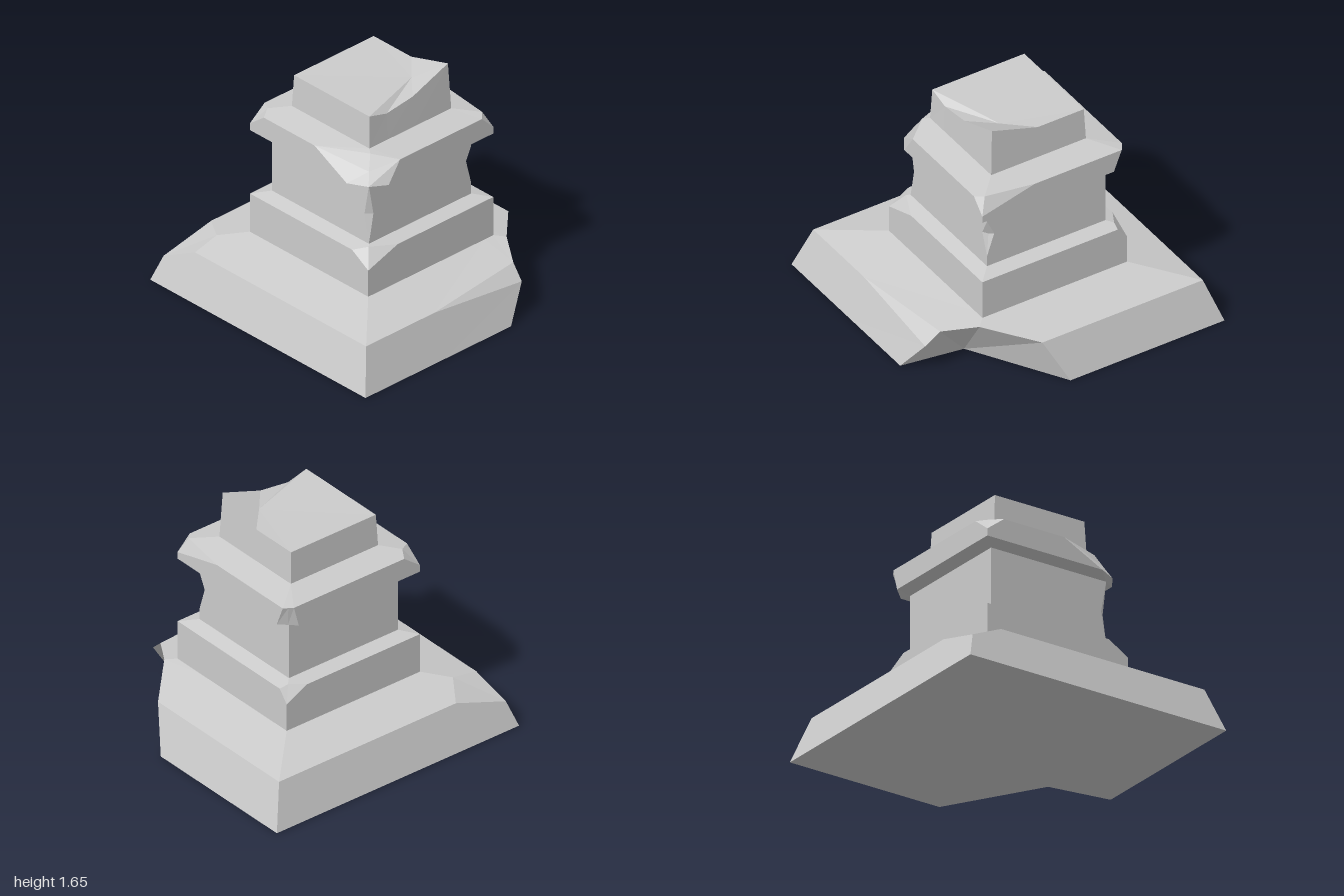
import * as THREE from 'three';

const material = new THREE.MeshStandardMaterial({ color: 0xcccccc, flatShading: true });

// Joins rings of equal length (counter-clockwise from above, bottom to top) and closes both ends.
function loft(name, rings, topCentre) {
  const positions = [];
  const tri = (a, b, c) => {
    const [p, q, r] = [a, b, c].map((v) => new THREE.Vector3(...v));
    const area = q.clone().sub(p).cross(r.clone().sub(p)).length();
    if (area > 1e-7) positions.push(...a, ...b, ...c);
  };
  const n = rings[0].length;
  for (let k = 0; k < rings.length - 1; k++) {
    for (let i = 0; i < n; i++) {
      const j = (i + 1) % n;
      const [lo, hi] = [rings[k], rings[k + 1]];
      tri(lo[i], lo[j], hi[j]);
      tri(lo[i], hi[j], hi[i]);
    }
  }
  const first = rings[0], last = rings[rings.length - 1];
  const top = topCentre || [0, last[0][1], 0];
  for (let i = 0; i < n; i++) {
    const j = (i + 1) % n;
    tri([0, first[0][1], 0], first[j], first[i]);
    tri(top, last[i], last[j]);
  }
  const geometry = new THREE.BufferGeometry();
  geometry.setAttribute('position', new THREE.Float32BufferAttribute(positions, 3));
  geometry.computeVertexNormals();
  const mesh = new THREE.Mesh(geometry, material);
  mesh.name = name;
  return mesh;
}

// Square ring with three points per corner; a chipped corner replaces its three points.
function ring(y, h, chips = {}) {
  const corners = { fl: [-h, y, h], fr: [h, y, h], br: [h, y, -h], bl: [-h, y, -h] };
  return Object.entries(corners).flatMap(([key, p]) => chips[key] || [p, p, p]);
}

// Same chips with the middle point of some corners moved inward.
function sink(chips, middles) {
  const result = { ...chips };
  for (const [key, m] of Object.entries(middles)) result[key] = [chips[key][0], m, chips[key][2]];
  return result;
}

export function createModel() {
  const group = new THREE.Group();
  group.name = 'brokenPedestal';

  // Wide sloping base, front corner broken away, back corner chipped
  const notch = [0.35, 0, 0.56];
  const foot = [[-1, 0, 1], [-0.3, 0, 1], [0.28, 0, 1], notch, notch, [1, 0, 0.17],
    [1, 0, -1], [-0.56, 0, -1], [-1, 0, -1], [-1, 0, -0.69]];
  const breakEdge = [0.47, 0.32, 0.82];
  const lip = [[-0.9, 0.3, 0.9], [-0.3, 0.3, 0.9], [0.45, 0.23, 0.92], breakEdge, [0.61, 0.36, 0.61],
    [0.9, 0.3, 0.32], [0.9, 0.3, -0.9], [-0.56, 0.3, -0.9], [-0.94, 0.18, -0.94], [-0.9, 0.3, -0.69]];
  const chippedLip = lip.slice();
  chippedLip[2] = breakEdge;
  chippedLip[8] = [-0.7, 0.34, -0.7];
  const shoulder = [[-0.55, 0.55], [-0.3, 0.55], [0.47, 0.55], [0.47, 0.55], [0.55, 0.55], [0.55, 0.32],
    [0.55, -0.55], [-0.53, -0.55], [-0.55, -0.55], [-0.55, -0.53]].map(([x, z]) => [x, 0.37, z]);
  group.add(loft('base', [foot, lip, chippedLip, shoulder]));

  // Plinth with two chipped corners
  const plinthChips = {
    fl: [[-0.55, 0.655, 0.4], [-0.55, 0.565, 0.55], [-0.29, 0.655, 0.55]],
    br: [[0.55, 0.655, -0.48], [0.55, 0.57, -0.55], [0.38, 0.655, -0.55]],
  };
  group.add(loft('plinth', [
    ring(0.37, 0.55),
    ring(0.655, 0.55, plinthChips),
    ring(0.655, 0.55, sink(plinthChips, { fl: [-0.47, 0.675, 0.47], br: [0.49, 0.67, -0.49] })),
    ring(0.68, 0.45),
  ]));

  // Shaft with notches in its front edges
  const frontLeftNotch = [[-0.45, 0.89, 0.41], [-0.43, 0.89, 0.43], [-0.41, 0.89, 0.45]];
  const frontRightNotch = [[0.395, 0.92, 0.45], [0.42, 0.91, 0.42], [0.45, 0.92, 0.395]];
  const edge = (y) => [0, 1, 2].map(() => [-0.45 + 0.02 * (1 - Math.abs(y - 0.89) / 0.21), y, 0.45]);
  const leftAt = (y) => {
    const t = 1 - Math.abs(y - 0.89) / 0.22;
    return frontLeftNotch.map(([x, , z]) => [-0.45 + (x + 0.45) * t, y, 0.45 + (z - 0.45) * t]);
  };
  group.add(loft('shaft', [
    ring(0.68, 0.45),
    ring(0.76, 0.45, { fl: leftAt(0.76) }),
    ring(0.91, 0.45, { fl: frontLeftNotch, fr: frontRightNotch }),
    ring(1.035, 0.45, { fl: leftAt(1.035) }),
    ring(1.11, 0.45),
  ]));

  // Collar, each corner chipped differently
  const lowChips = {
    fl: [[-0.55, 1.13, 0.35], [-0.48, 1.13, 0.48], [-0.37, 1.13, 0.55]],
    br: [[0.55, 1.13, -0.45], [0.5, 1.13, -0.5], [0.45, 1.13, -0.55]],
  };
  const highChips = {
    fl: [[-0.55, 1.28, 0.05], [-0.44, 1.21, 0.44], [-0.27, 1.28, 0.55]],
    fr: [[0.45, 1.28, 0.55], [0.55, 1.18, 0.55], [0.55, 1.28, 0.15]],
    br: [[0.55, 1.28, -0.51], [0.52, 1.28, -0.53], [0.49, 1.28, -0.55]],
    bl: [[-0.42, 1.28, -0.55], [-0.55, 1.18, -0.55], [-0.55, 1.28, -0.42]],
  };
  group.add(loft('collar', [
    ring(1.11, 0.45),
    ring(1.13, 0.55, lowChips),
    ring(1.28, 0.55, highChips),
    ring(1.28, 0.55, sink(highChips, {
      fl: [-0.39, 1.307, 0.4], fr: [0.5, 1.29, 0.5], bl: [-0.47, 1.295, -0.47],
    })),
    ring(1.315, 0.36),
  ]));

  // Broken stump on top, rising to one corner
  const stumpFoot = [[-0.36, 0.36], [-0.2, 0.36], [0.03, 0.36], [0.36, 0.36], [0.36, 0], [0.36, -0.36],
    [-0.36, -0.36]].map(([x, z]) => [x, 1.315, z]);
  const stumpTop = [[-0.35, 1.545, 0.35], [-0.2, 1.505, 0.35], [0.03, 1.535, 0.35], [0.345, 1.65, 0.345],
    [0.35, 1.545, 0], [0.35, 1.545, -0.35], [-0.35, 1.545, -0.35]];
  group.add(loft('stump', [stumpFoot, stumpTop], [0.18, 1.54, 0.18]));

  return group;
}
